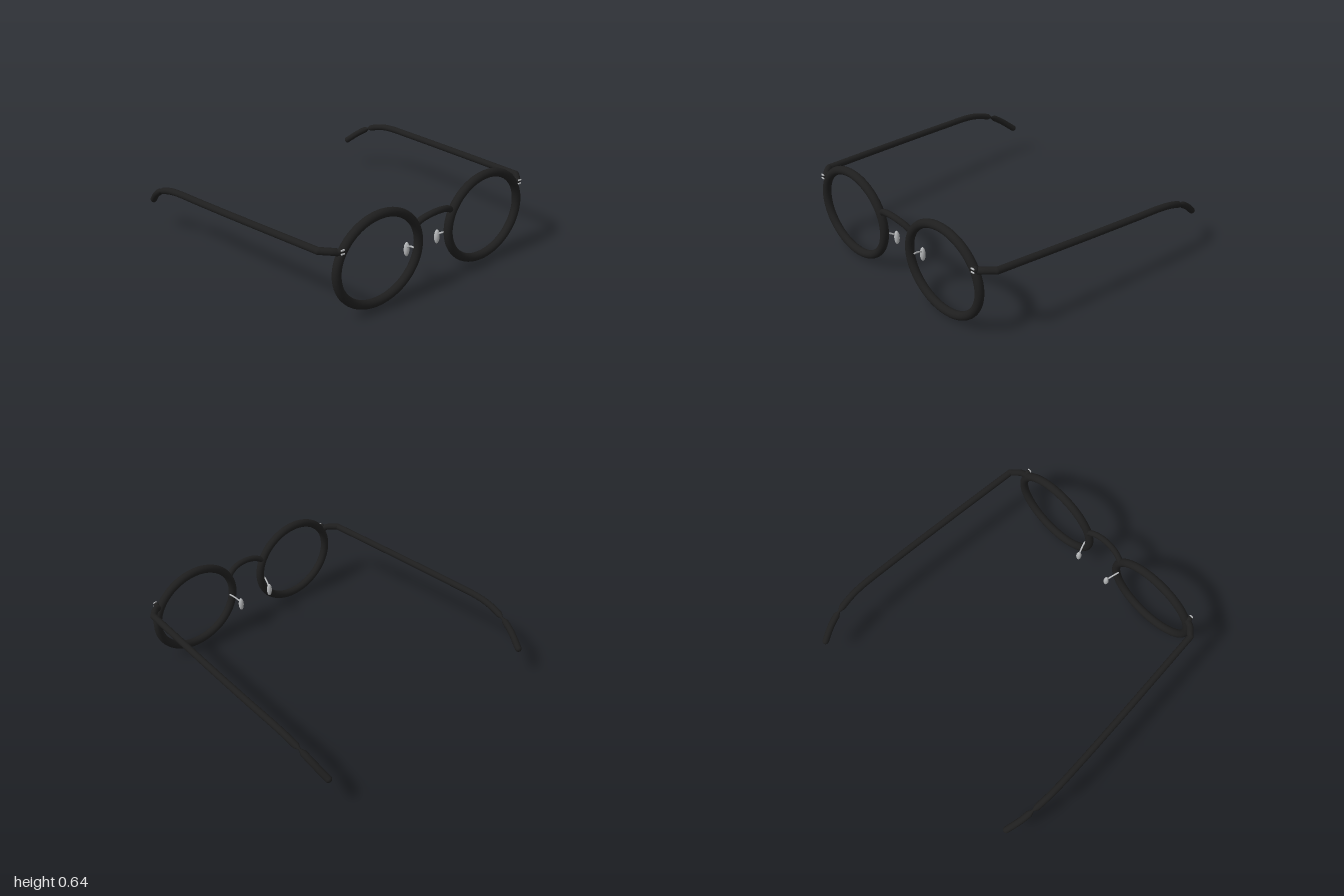
import * as THREE from 'three';

const V = (x, y, z) => new THREE.Vector3(x, y, z);

export function createModel() {
  const root = new THREE.Group();
  root.name = 'eyeglasses';
  const black = new THREE.MeshStandardMaterial({ color: 0x1e1e1e });
  black.name = 'black frame';
  const silver = new THREE.MeshStandardMaterial({ color: 0xb4b6b8 });
  silver.name = 'silver metal';

  const add = (parent, name, geo, mat, p = [0, 0, 0]) => {
    const m = new THREE.Mesh(geo, mat);
    m.name = name;
    m.position.set(...p);
    parent.add(m);
    return m;
  };

  // Tube whose radius follows a rule along its path, with rounded ends
  const rod = (parent, name, pts, radiusAt, mat, segs = 24) => {
    const curve = new THREE.CatmullRomCurve3(pts.map((p) => V(...p)));
    const sides = 16;
    const geo = new THREE.TubeGeometry(curve, segs, 1, sides, false);
    const pos = geo.attributes.position;
    const v = V(0, 0, 0);
    for (let i = 0; i <= segs; i++) {
      const c = curve.getPointAt(i / segs);
      for (let j = 0; j <= sides; j++) {
        const k = i * (sides + 1) + j;
        v.fromBufferAttribute(pos, k).sub(c).multiplyScalar(radiusAt(c)).add(c);
        pos.setXYZ(k, v.x, v.y, v.z);
      }
    }
    geo.computeBoundingSphere();
    add(parent, name, geo, mat);
    for (const p of [pts[0], pts[pts.length - 1]]) {
      add(parent, name + 'End', new THREE.SphereGeometry(radiusAt(V(...p)), 16, 10), mat, p);
    }
  };

  // Oval closed path for a lens rim
  class Oval extends THREE.Curve {
    getPoint(t, target = V(0, 0, 0)) {
      const a = t * Math.PI * 2;
      return target.set(0.336 * Math.cos(a), 0.292 * Math.sin(a), 0);
    }
  }
  const rimGeo = new THREE.TubeGeometry(new Oval(), 96, 0.029, 20, true);

  for (const s of [1, -1]) {
    const side = new THREE.Group();
    side.name = s > 0 ? 'leftSide' : 'rightSide';
    root.add(side);

    add(side, 'rim', rimGeo, black, [s * 0.471, 0.325, 0.911]);

    // End piece linking rim and temple
    rod(side, 'endPiece', [[s * 0.79, 0.472, 0.908], [s * 0.82, 0.48, 0.893], [s * 0.875, 0.483, 0.838]],
      () => 0.023, black, 12);

    // Hinge block with two small pins
    add(side, 'hingeBlock', new THREE.SphereGeometry(0.021, 16, 12), black, [s * 0.787, 0.485, 0.924]);
    for (const y of [0.473, 0.497]) {
      const pin = add(side, 'hingePin', new THREE.CapsuleGeometry(0.006, 0.018, 4, 10), silver, [s * 0.787, y, 0.943]);
      pin.rotation.z = Math.PI / 2;
    }

    // Temple arm, pinched to a thin neck before the ear tip
    const neck = (c) => THREE.MathUtils.lerp(0.007, 0.023, Math.min(1, Math.abs(c.z + 0.738) / 0.03));
    rod(side, 'temple', [
      [s * 0.878, 0.482, 0.835], [s * 0.905, 0.469, 0.5], [s * 0.936, 0.453, 0.1],
      [s * 0.962, 0.438, -0.28], [s * 0.974, 0.428, -0.5], [s * 0.974, 0.41, -0.61],
      [s * 0.964, 0.365, -0.738], [s * 0.949, 0.31, -0.83], [s * 0.917, 0.227, -0.934],
    ], neck, black, 200);

    // Nose pad on its thin wire
    rod(side, 'padArm', [[s * 0.168, 0.295, 0.9], [s * 0.155, 0.283, 0.86], [s * 0.141, 0.262, 0.822]],
      () => 0.006, silver, 10);
    const pad = add(side, 'nosePad', new THREE.SphereGeometry(1, 20, 14), silver, [s * 0.138, 0.24, 0.814]);
    pad.scale.set(0.019, 0.05, 0.018);
  }

  // Arched bridge, bowed forward
  rod(root, 'bridge', [
    [-0.165, 0.452, 0.905], [-0.11, 0.483, 0.919], [-0.055, 0.497, 0.927], [0, 0.501, 0.929],
    [0.055, 0.497, 0.927], [0.11, 0.483, 0.919], [0.165, 0.452, 0.905],
  ], () => 0.021, black, 40);

  return root;
}
